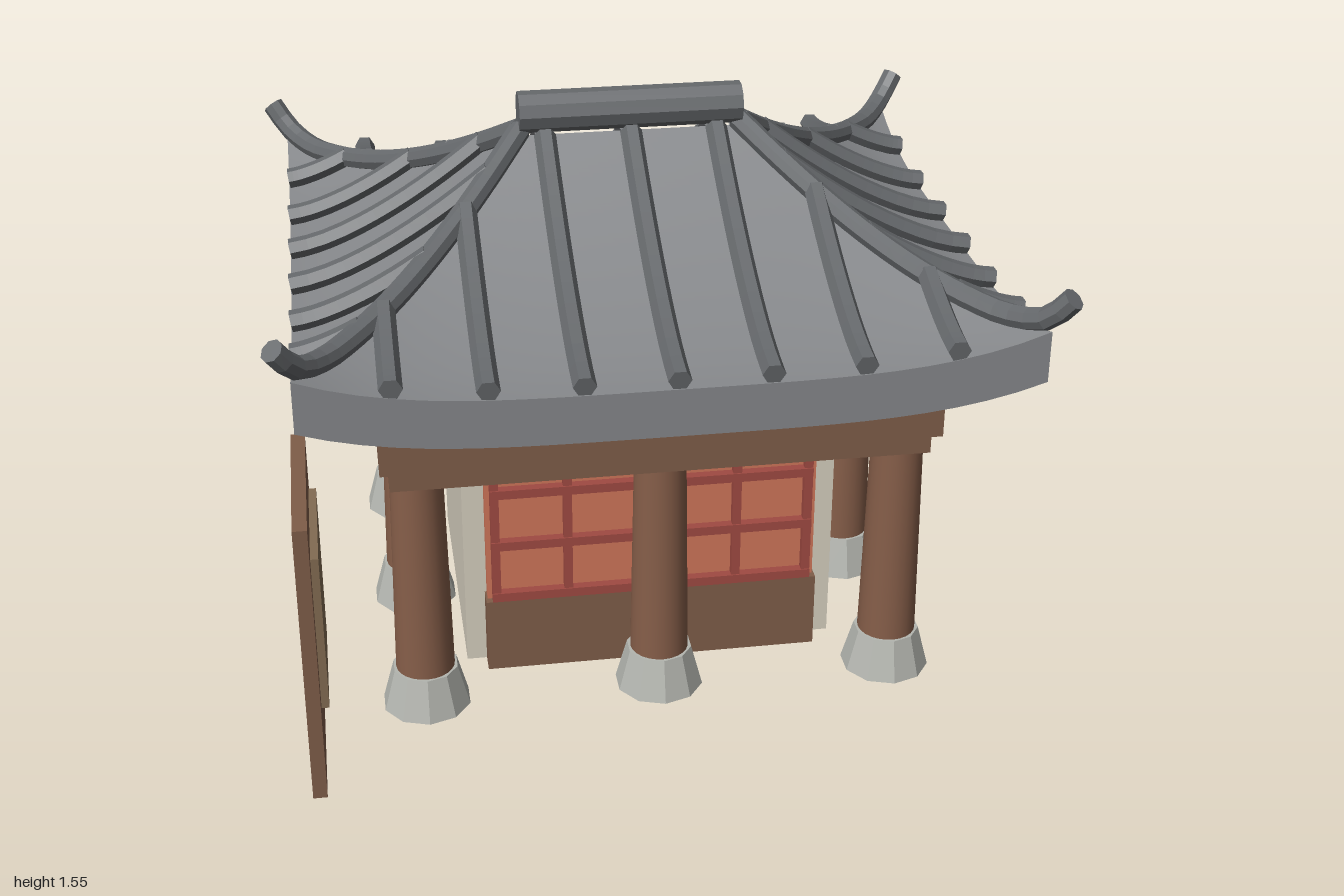
import * as THREE from 'three';

const mat = (color, extra = {}) => {
  const m = new THREE.MeshStandardMaterial({ color, ...extra });
  return m;
};
const M = {
  roof: mat(0x85878a),
  bead: mat(0x66696c, { flatShading: true, side: THREE.DoubleSide }),
  wood: mat(0x7f5d49),
  column: mat(0x865e49),
  stone: mat(0xb4b6b0, { flatShading: true }),
  plaster: mat(0xd6cfbf),
  paper: mat(0xd0765a),
  lattice: mat(0xa04a42),
  panel: mat(0x826c52),
};
const lerp = THREE.MathUtils.lerp;

function add(parent, name, geo, material, x = 0, y = 0, z = 0) {
  const m = new THREE.Mesh(geo, material);
  m.name = name;
  m.position.set(x, y, z);
  parent.add(m);
  return m;
}

// box given by its extents on each axis
function box(parent, name, material, [x0, x1], [y0, y1], [z0, z1]) {
  return add(parent, name, new THREE.BoxGeometry(x1 - x0, y1 - y0, z1 - z0), material,
    (x0 + x1) / 2, (y0 + y1) / 2, (z0 + z1) / 2);
}

// smooth surface patch from f(u, v), u in -1..1, v in 0..1
function patch(f, nu, nv) {
  const pos = [], idx = [];
  for (let j = 0; j <= nv; j++)
    for (let i = 0; i <= nu; i++) pos.push(...f((i / nu) * 2 - 1, j / nv));
  for (let j = 0; j < nv; j++)
    for (let i = 0; i < nu; i++) {
      const a = j * (nu + 1) + i, c = a + nu + 1;
      idx.push(a, a + 1, c, a + 1, c + 1, c);
    }
  const g = new THREE.BufferGeometry();
  g.setAttribute('position', new THREE.Float32BufferAttribute(pos, 3));
  g.setIndex(idx);
  g.computeVertexNormals();
  return g;
}

// tile bead: a tube along points with both ends capped
function bead(parent, name, pts, r, sides, segs) {
  const group = new THREE.Group();
  group.name = name;
  parent.add(group);
  const curve = new THREE.CatmullRomCurve3(pts);
  add(group, name + 'Tube', new THREE.TubeGeometry(curve, segs, r, sides), M.bead);
  const fr = curve.computeFrenetFrames(segs);
  for (const k of [0, segs]) {
    const cap = new THREE.CircleGeometry(r, sides);
    cap.applyMatrix4(new THREE.Matrix4().makeBasis(fr.normals[k], fr.binormals[k], fr.tangents[k]));
    const p = curve.getPointAt(k / segs);
    add(group, name + 'Cap', cap, M.bead, p.x, p.y, p.z);
  }
}

// Roof: s runs from the eave (0) to the ridge (1), u along the eave
const RX = 0.94, RZ = 0.84, RIDGE = 0.3;
const topY = (u, s) => 1.055 + 0.37 * s ** 1.5 + 0.09 * u ** 4 * (1 - s) ** 3;
const bottomY = (u, s) => 0.925 + 0.08 * u ** 4 * (1 - s) ** 2;

function roofSide(along, out, ribs) {
  const g = new THREE.Group();
  g.name = 'roofSide';
  const at = (u, s, y) => [u * lerp(along[0], along[1], s), y, lerp(out[0], out[1], s)];
  add(g, 'roofSlope', patch((u, s) => at(u, s, topY(u, s)), 24, 16), M.roof);
  add(g, 'eaveFascia', patch((u, v) => at(u, 0, lerp(bottomY(u, 0), topY(u, 0), v)), 24, 1), M.roof);
  add(g, 'soffit', patch((u, v) => at(u, 1 - v, bottomY(u, 1 - v)), 24, 10), M.roof);
  for (const a of ribs) {
    const sMax = Math.min(0.97, (along[0] - Math.abs(a)) / (along[0] - along[1]));
    const pts = [];
    for (let i = 0; i <= 8; i++) {
      const s = (sMax * i) / 8, u = a / lerp(along[0], along[1], s);
      pts.push(new THREE.Vector3(a, topY(u, s) + 0.024, lerp(out[0], out[1], s)));
    }
    bead(g, 'tileRib', pts, 0.03, 6, 12);
  }
  return g;
}

function buildRoof() {
  const roof = new THREE.Group();
  roof.name = 'roof';
  const longRibs = [-3, -2, -1, 0, 1, 2, 3].map(i => i * 0.235);
  const shortRibs = [-2.5, -1.5, -0.5, 0.5, 1.5, 2.5].map(i => i * 0.242);
  for (let i = 0; i < 4; i++) {
    const side = i % 2
      ? roofSide([RZ, 0], [RX, RIDGE], shortRibs)
      : roofSide([RX, RIDGE], [RZ, 0], longRibs);
    side.rotation.y = (i * Math.PI) / 2;
    roof.add(side);
  }
  // hip beads with upturned tips
  for (const sx of [-1, 1]) for (const sz of [-1, 1]) {
    const pts = [];
    for (const s of [1, 0.85, 0.7, 0.55, 0.4, 0.25, 0.12])
      pts.push(new THREE.Vector3(sx * lerp(RX, RIDGE, s), topY(1, s) + 0.018, sz * lerp(RZ, 0, s)));
    pts.push(new THREE.Vector3(sx * 0.93, 1.18, sz * 0.83));
    pts.push(new THREE.Vector3(sx * 0.977, 1.245, sz * 0.868));
    bead(roof, 'hipBead', pts, 0.031, 8, 24);
  }
  // ridge
  const ridge = new THREE.CylinderGeometry(0.057, 0.057, 0.61, 10);
  ridge.rotateZ(Math.PI / 2);
  add(roof, 'ridge', ridge, M.bead, 0, 1.492, 0);
  return roof;
}

function buildFrame() {
  const frame = new THREE.Group();
  frame.name = 'timberFrame';
  const CX = 0.645, CZ = 0.547;
  // eight columns on stone feet
  for (const i of [-1, 0, 1]) for (const k of [-1, 0, 1]) {
    if (!i && !k) continue;
    add(frame, 'columnFoot', new THREE.CylinderGeometry(0.09, 0.122, 0.118, 10), M.stone, i * CX, 0.059, k * CZ);
    add(frame, 'column', new THREE.CylinderGeometry(0.07, 0.08, 0.6, 24), M.column, i * CX, 0.41, k * CZ);
  }
  // two tiers of beams
  for (const [y0, y1, h] of [[0.7, 0.76, 0.072], [0.76, 0.94, 0.096]])
    for (const s of [-1, 1]) {
      const ex = CX + h, ez = CZ + h;
      box(frame, 'longBeam', M.wood, [-ex, ex], [y0, y1], [s * CZ - h, s * CZ + h]);
      box(frame, 'shortBeam', M.wood, [s * CX - h, s * CX + h], [y0, y1], [h - ez, ez - h]);
    }
  return frame;
}

function buildRoom() {
  const room = new THREE.Group();
  room.name = 'room';
  const top = 0.93;
  for (const s of [-1, 1])
    box(room, 'sideWall', M.plaster, [s * 0.49 - 0.03, s * 0.49 + 0.03], [0, top], [-0.365, 0.372]);
  box(room, 'backWall', M.plaster, [-0.52, 0.52], [0, top], [-0.425, -0.365]);
  box(room, 'dado', M.wood, [-0.465, 0.465], [0, 0.22], [0.37, 0.432]);
  box(room, 'screen', M.paper, [-0.46, 0.46], [0.22, top], [0.37, 0.41]);
  // two lattice windows
  for (const s of [-1, 1]) {
    for (const x of [0.035, 0.235, 0.435])
      box(room, 'latticeUpright', M.lattice, [s * x - 0.012, s * x + 0.012], [0.222, 0.74], [0.405, 0.432]);
    for (const y of [0.235, 0.398, 0.56, 0.725])
      box(room, 'latticeRail', M.lattice, [s * 0.235 - 0.212, s * 0.235 + 0.212], [y - 0.013, y + 0.013], [0.405, 0.436]);
  }
  return room;
}

// free-standing door leaf beside the building
function buildDoor() {
  const door = new THREE.Group();
  door.name = 'door';
  box(door, 'doorLeaf', M.wood, [-0.962, -0.925], [0, 0.795], [0.42, 0.918]);
  box(door, 'doorPanel', M.panel, [-0.93, -0.905], [0.227, 0.67], [0.492, 0.847]);
  return door;
}

export function createModel() {
  const model = new THREE.Group();
  model.name = 'pavilion';
  const building = new THREE.Group();
  building.name = 'building';
  building.position.z = -0.023;
  building.add(buildRoof(), buildFrame(), buildRoom());
  model.add(building, buildDoor());
  return model;
}
